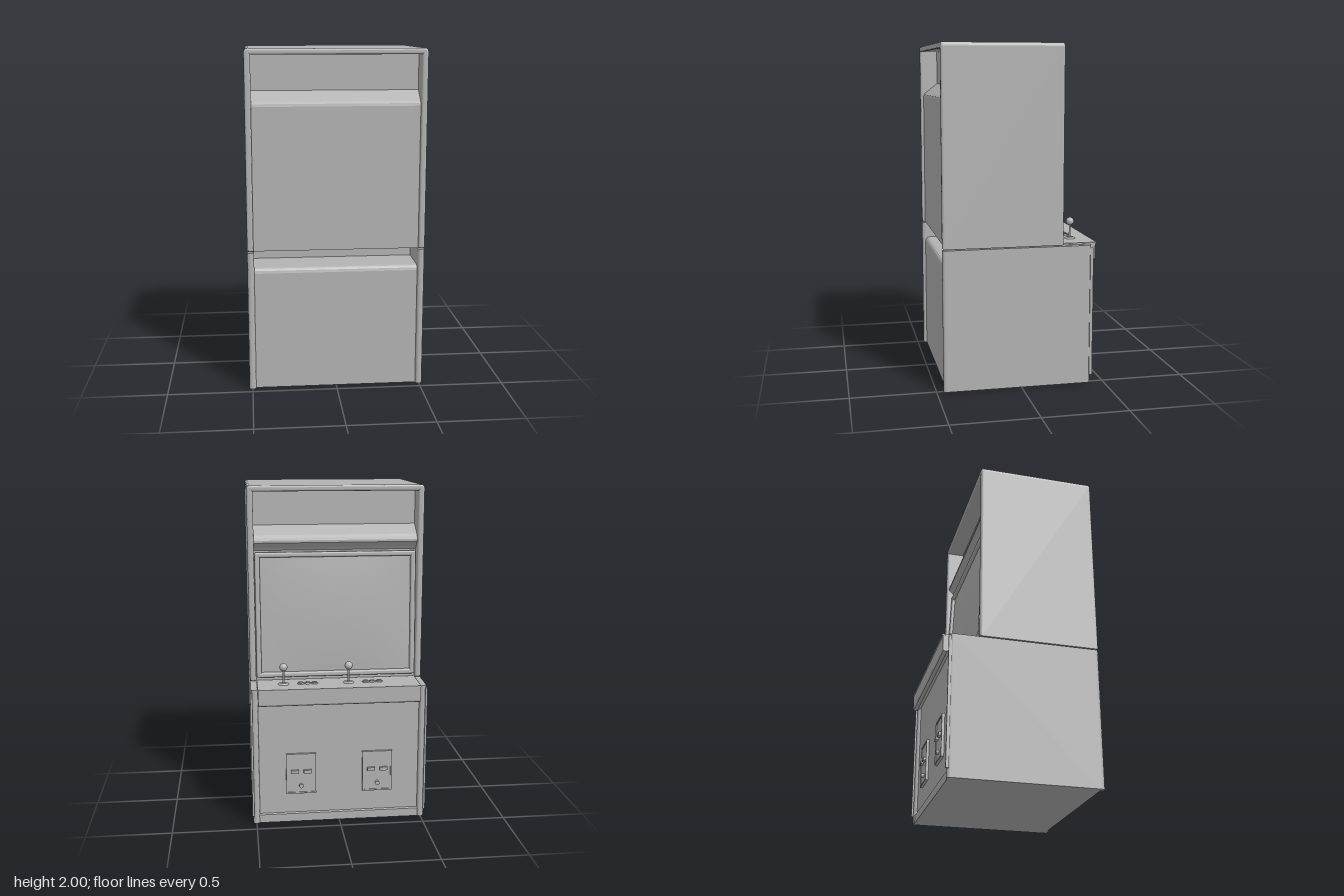
import * as THREE from 'three';
import { RoundedBoxGeometry } from 'three/addons/geometries/RoundedBoxGeometry.js';

export function createModel() {
  const root = new THREE.Group();
  root.name = 'arcadeCabinet';
  const grey = new THREE.MeshStandardMaterial({ color: 0xb3b3b3 });
  grey.name = 'plain grey';

  const add = (name, geometry, x = 0, y = 0, z = 0, parent = root) => {
    const mesh = new THREE.Mesh(geometry, grey);
    mesh.name = name;
    mesh.position.set(x, y, z);
    parent.add(mesh);
    return mesh;
  };
  const box = (w, h, d) => new THREE.BoxGeometry(w, h, d);

  // Extrudes a side profile of [z, y] points across the width
  const across = (points, width) => {
    const shape = new THREE.Shape(points.map(([z, y]) => new THREE.Vector2(z, y)));
    return new THREE.ExtrudeGeometry(shape, { depth: width, bevelEnabled: false })
      .rotateY(-Math.PI / 2).translate(width / 2, 0, 0);
  };

  // Upper casing: rounded inverted U of two sides and a roof
  const o = 0.52, i = 0.483, r = 0.025;
  const hood = new THREE.Shape();
  hood.moveTo(-o, 0.84);
  hood.lineTo(-o, 2 - r);
  hood.quadraticCurveTo(-o, 2, -o + r, 2);
  hood.lineTo(o - r, 2);
  hood.quadraticCurveTo(o, 2, o, 2 - r);
  hood.lineTo(o, 0.84);
  hood.lineTo(i, 0.84);
  hood.lineTo(i, 1.965);
  hood.lineTo(-i, 1.965);
  hood.lineTo(-i, 0.84);
  const b = 0.012;
  add('upperCasing', new THREE.ExtrudeGeometry(hood, {
    depth: 0.71 - 2 * b, bevelThickness: b, bevelSize: b, bevelOffset: -b, bevelSegments: 4, curveSegments: 6,
  }), 0, 0, -0.25 + b);

  // Upper body: rear panel, recessed strips, marquee ledge and screen backing
  add('upperBody', across([
    [0.44, 0.84], [0.44, 1.675], [0.437, 1.69], [0.425, 1.702], [0.35, 1.76], [0.35, 1.97],
    [-0.14, 1.97], [-0.14, 1.765], [-0.215, 1.712], [-0.23, 1.697], [-0.235, 1.682],
    [-0.235, 1.668], [-0.2, 1.635], [-0.19, 1.62], [-0.225, 0.84],
  ], 0.968));

  // Leaning screen with a frame of rounded bars
  const monitor = new THREE.Group();
  monitor.name = 'monitor';
  monitor.position.set(0, 1.235, -0.209);
  monitor.rotation.set(0.045, Math.PI, 0, 'YXZ');
  monitor.rotation.x = -0.045;
  root.add(monitor);
  const glass = new THREE.PlaneGeometry(0.92, 0.7, 20, 16);
  const p = glass.attributes.position;
  for (let n = 0; n < p.count; n++) {
    const u = p.getX(n) / 0.46, v = p.getY(n) / 0.35;
    p.setZ(n, 0.004 + 0.015 * (1 - u * u) * (1 - v * v));
  }
  glass.computeVertexNormals();
  add('screen', glass, 0, 0, 0, monitor);
  for (const s of [-1, 1]) {
    add('screenSideFrame', new RoundedBoxGeometry(0.03, 0.75, 0.034, 3, 0.01), s * 0.465, 0, 0.008, monitor);
    add('screenCrossFrame', new RoundedBoxGeometry(0.96, 0.03, 0.034, 3, 0.01), 0, s * 0.36, 0.008, monitor);
  }

  // Lower body: rear panel with a rounded shelf, flat coin panel, kick plate
  add('lowerBody', across([
    [0.44, 0], [0.44, 0.705], [0.436, 0.72], [0.426, 0.731], [0.41, 0.735], [0.2, 0.735],
    [0.2, 0.84], [-0.4, 0.84], [-0.4, 0.055], [-0.412, 0.05], [-0.412, 0],
  ], 0.968));

  // Lower side boards with rounded ends, and thin outer corner strips
  const board = new THREE.Shape();
  const h = 0.02, e = 0.02;
  board.moveTo(-h, -0.46 + e);
  board.quadraticCurveTo(-h, -0.46, 0, -0.46);
  board.quadraticCurveTo(h, -0.46, h, -0.46 + e);
  board.lineTo(h, 0.42 - e);
  board.quadraticCurveTo(h, 0.42, 0, 0.42);
  board.quadraticCurveTo(-h, 0.42, -h, 0.42 - e);
  for (const s of [-1, 1]) {
    const geometry = new THREE.ExtrudeGeometry(board, { depth: 0.834, bevelEnabled: false, curveSegments: 6 });
    add('lowerSide', geometry.rotateX(-Math.PI / 2), s * 0.5, 0, 0);
    add('cornerStrip', box(0.012, 0.77, 0.018), s * 0.519, 0.435, -0.42);
  }

  // Control deck with a hanging front lip
  add('controlDeck', box(0.96, 0.008, 0.225), 0, 0.84, -0.3475);
  add('deckLip', across([
    [-0.39, 0.838], [-0.453, 0.838], [-0.453, 0.752], [-0.449, 0.743], [-0.44, 0.739],
    [-0.428, 0.739], [-0.42, 0.745], [-0.39, 0.775],
  ], 0.958));

  // Two sets of controls: a ball-topped stick and three ringed buttons
  for (const x of [-0.063, 0.325]) {
    add('stickBase', new THREE.CylinderGeometry(0.022, 0.034, 0.01, 20), x, 0.848, -0.34);
    add('stick', new THREE.CylinderGeometry(0.006, 0.006, 0.1, 12), x, 0.895, -0.34);
    add('stickBall', new THREE.SphereGeometry(0.024, 20, 14), x, 0.948, -0.34);
    for (let n = 0; n < 3; n++) {
      const bx = x - 0.102 - n * 0.041;
      add('buttonRing', new THREE.CylinderGeometry(0.019, 0.021, 0.008, 8), bx, 0.847, -0.34);
      add('button', new THREE.CylinderGeometry(0.014, 0.014, 0.012, 8), bx, 0.849, -0.34);
    }
  }

  // Two coin doors, each with a frame, two slots and a lock
  for (const x of [-0.23, 0.23]) {
    add('coinDoor', box(0.165, 0.235, 0.012), x, 0.305, -0.405);
    for (const s of [-1, 1]) {
      add('doorSideFrame', box(0.009, 0.25, 0.018), x + s * 0.085, 0.305, -0.407);
      add('doorCrossFrame', box(0.18, 0.009, 0.018), x, 0.305 + s * 0.121, -0.407);
      add('coinSlot', box(0.046, 0.02, 0.018), x + s * 0.038, 0.32, -0.418);
    }
    add('doorLock', new THREE.CylinderGeometry(0.013, 0.013, 0.02, 12).rotateX(Math.PI / 2), x, 0.23, -0.418);
  }

  return root;
}
